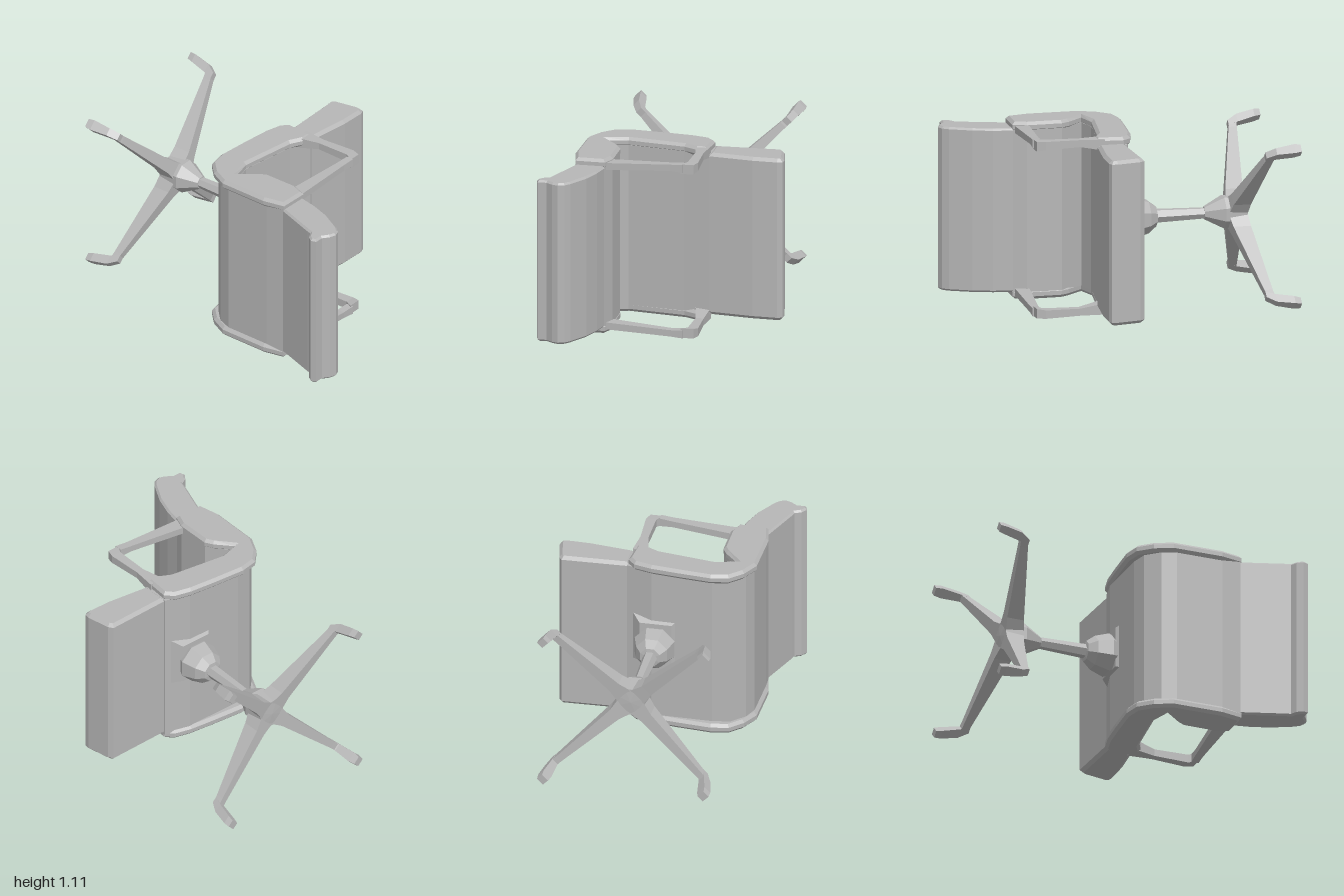
import * as THREE from 'three';

const grey = new THREE.MeshStandardMaterial({ color: 0xb6b6b6, flatShading: true });
grey.name = 'plain grey';

const CX = 0.04, CY = 0.565; // axis of the column and base

function add(parent, geometry, name) {
  const mesh = new THREE.Mesh(geometry, grey);
  mesh.name = name;
  parent.add(mesh);
  return mesh;
}

// Slab with an outline in x,z, running from y0 to y1 with bevelled ends
function slab(outline, y0, y1, bevel) {
  const shape = new THREE.Shape(outline.map(([x, z]) => new THREE.Vector2(x, z)));
  const geo = new THREE.ExtrudeGeometry(shape, {
    depth: y1 - y0 - 2 * bevel, bevelEnabled: bevel > 0, bevelSegments: 1,
    bevelThickness: bevel, bevelSize: bevel, bevelOffset: -bevel,
  });
  geo.rotateX(Math.PI / 2);
  geo.translate(0, y1 - bevel, 0);
  return geo;
}

// Four-sided bar through stations [x, y, z, halfSide, halfUp]
function bar(stations, sideDir, upDir) {
  const side = new THREE.Vector3(...sideDir).normalize();
  const up = new THREE.Vector3(...upDir).normalize();
  const first = new THREE.Vector3(...stations[0].slice(0, 3));
  const run = new THREE.Vector3(...stations.at(-1).slice(0, 3)).sub(first);
  if (side.clone().cross(up).dot(run) < 0) side.negate();
  const rings = stations.map(([x, y, z, w, h]) =>
    [[-1, -1], [1, -1], [1, 1], [-1, 1]].map(([s, u]) =>
      new THREE.Vector3(x, y, z).addScaledVector(side, s * w).addScaledVector(up, u * h)));
  const pos = [];
  const quad = (a, b, c, d) => [a, b, c, a, c, d].forEach((p) => pos.push(p.x, p.y, p.z));
  for (let i = 0; i + 1 < rings.length; i++) {
    for (let k = 0; k < 4; k++) {
      const n = (k + 1) % 4;
      quad(rings[i][k], rings[i][n], rings[i + 1][n], rings[i + 1][k]);
    }
  }
  const [a, b, c, d] = rings[0];
  quad(d, c, b, a);
  quad(...rings.at(-1));
  const geo = new THREE.BufferGeometry();
  geo.setAttribute('position', new THREE.Float32BufferAttribute(pos, 3));
  geo.computeVertexNormals();
  return geo;
}

// Turned part along the column axis, profile of [radius, distance behind z = 0]
function turned(profile, sides) {
  const geo = new THREE.LatheGeometry(profile.map(([r, d]) => new THREE.Vector2(r, d)), sides);
  geo.rotateY(Math.PI / sides);
  geo.rotateX(-Math.PI / 2);
  geo.translate(CX, CY, 0);
  return geo;
}

export function createModel() {
  const chair = new THREE.Group();
  chair.name = 'tippedChair';

  // Upholstery: front of the seat, bent middle shell, upper backrest
  const cushions = new THREE.Group();
  cushions.name = 'cushions';
  chair.add(cushions);
  add(cushions, slab([
    [0.22, 0.02], [0.64, 0.01], [0.66, 0.04], [0.69, 0.19], [0.685, 0.225],
    [0.655, 0.237], [0.5, 0.232], [0.22, 0.195],
  ], 0.045, 1.075, 0.02), 'seatFront');
  add(cushions, slab([
    [0.23, 0.01], [0.07, -0.035], [-0.31, -0.04], [-0.42, -0.02], [-0.5, 0.06],
    [-0.535, 0.15], [-0.54, 0.45], [-0.53, 0.58], [-0.345, 0.58], [-0.315, 0.5],
    [-0.315, 0.28], [-0.42, 0.13], [-0.3, 0.1], [0.06, 0.155], [0.23, 0.19],
  ], 0.045, 1.065, 0), 'seatShell');
  add(cushions, slab([
    [-0.53, 0.57], [-0.345, 0.57], [-0.37, 0.7], [-0.41, 0.82], [-0.48, 0.95],
    [-0.51, 0.985], [-0.55, 1.0], [-0.59, 0.985], [-0.63, 0.955], [-0.685, 0.955],
    [-0.695, 0.92], [-0.67, 0.885], [-0.63, 0.865], [-0.62, 0.83],
  ], 0.045, 1.07, 0.012), 'backrest');

  // Side panels with the thin arm loops, one at each end of the shell
  const panel = [
    [0.225, 0.03], [0.18, -0.02], [0.07, -0.05], [-0.1, -0.07], [-0.31, -0.09],
    [-0.42, -0.07], [-0.5, 0.01], [-0.555, 0.12], [-0.56, 0.44], [-0.53, 0.58],
    [-0.345, 0.585], [-0.312, 0.5], [-0.312, 0.28], [-0.34, 0.23], [-0.43, 0.13],
    [-0.3, 0.1], [0.06, 0.157], [0.14, 0.2], [0.21, 0.2],
  ];
  for (const [name, inner, out] of [['left', 1.05, 1], ['right', 0.065, -1]]) {
    const arm = new THREE.Group();
    arm.name = name + 'Arm';
    chair.add(arm);
    const edge = inner + out * 0.062;
    add(arm, slab(panel, Math.min(inner, edge), Math.max(inner, edge), 0.018), 'sidePanel');
    add(arm, bar([
      [-0.35, inner + out * 0.015, 0.525, 0.045, 0.022],
      [0.06, inner + out * 0.035, 0.553, 0.025, 0.02],
      [0.14, inner + out * 0.035, 0.56, 0.024, 0.026],
    ], [0, 0, 1], [0, 1, 0]), 'armRail');
    add(arm, bar([
      [0.165, inner + out * 0.03, 0.575, 0.04, 0.03],
      [0.19, inner + out * 0.035, 0.52, 0.032, 0.026],
      [0.185, inner + out * 0.035, 0.3, 0.025, 0.022],
      [0.175, inner + out * 0.02, 0.15, 0.05, 0.035],
    ], [1, 0, 0], [0, 1, 0]), 'armFrontPost');
  }

  // Mount under the seat and column
  add(chair, bar([
    [CX, 0.59, 0.02, 0.17, 0.17], [CX, 0.58, -0.055, 0.1, 0.13],
  ], [1, 0, 0], [0, 1, 0]), 'mountPlate');
  add(chair, turned([
    [0, 0.02], [0.11, 0.02], [0.135, 0.075], [0.105, 0.165], [0.065, 0.215], [0, 0.225],
  ], 8), 'mountDome');
  add(chair, turned([[0, 0.2], [0.045, 0.2], [0.035, 0.54], [0, 0.54]], 6), 'column');

  // Four-legged base
  const base = new THREE.Group();
  base.name = 'base';
  chair.add(base);
  add(base, turned([
    [0, 0.52], [0.04, 0.52], [0.105, 0.64], [0.095, 0.775], [0, 0.78],
  ], 8), 'baseHub');
  for (const sx of [-1, 1]) {
    for (const sy of [-1, 1]) {
      const across = [-sx, sy, 0], outward = [sx, sy, 0];
      const at = (r, z, w, h) => [CX + sx * 0.455 * r, CY + sy * 0.435 * r, z, w, h];
      add(base, bar([
        at(0.08, -0.715, 0.06, 0.06), at(0.22, -0.73, 0.04, 0.055),
        at(0.95, -0.812, 0.022, 0.026), at(1.02, -0.822, 0.022, 0.022),
      ], across, [0, 0, 1]), 'leg');
      add(base, bar([
        at(1.0, -0.79, 0.022, 0.02), at(1.05, -0.85, 0.024, 0.028),
        at(1.09, -0.96, 0.032, 0.026), at(1.1, -1.0, 0.026, 0.022),
      ], across, outward), 'foot');
    }
  }
  return chair;
}
